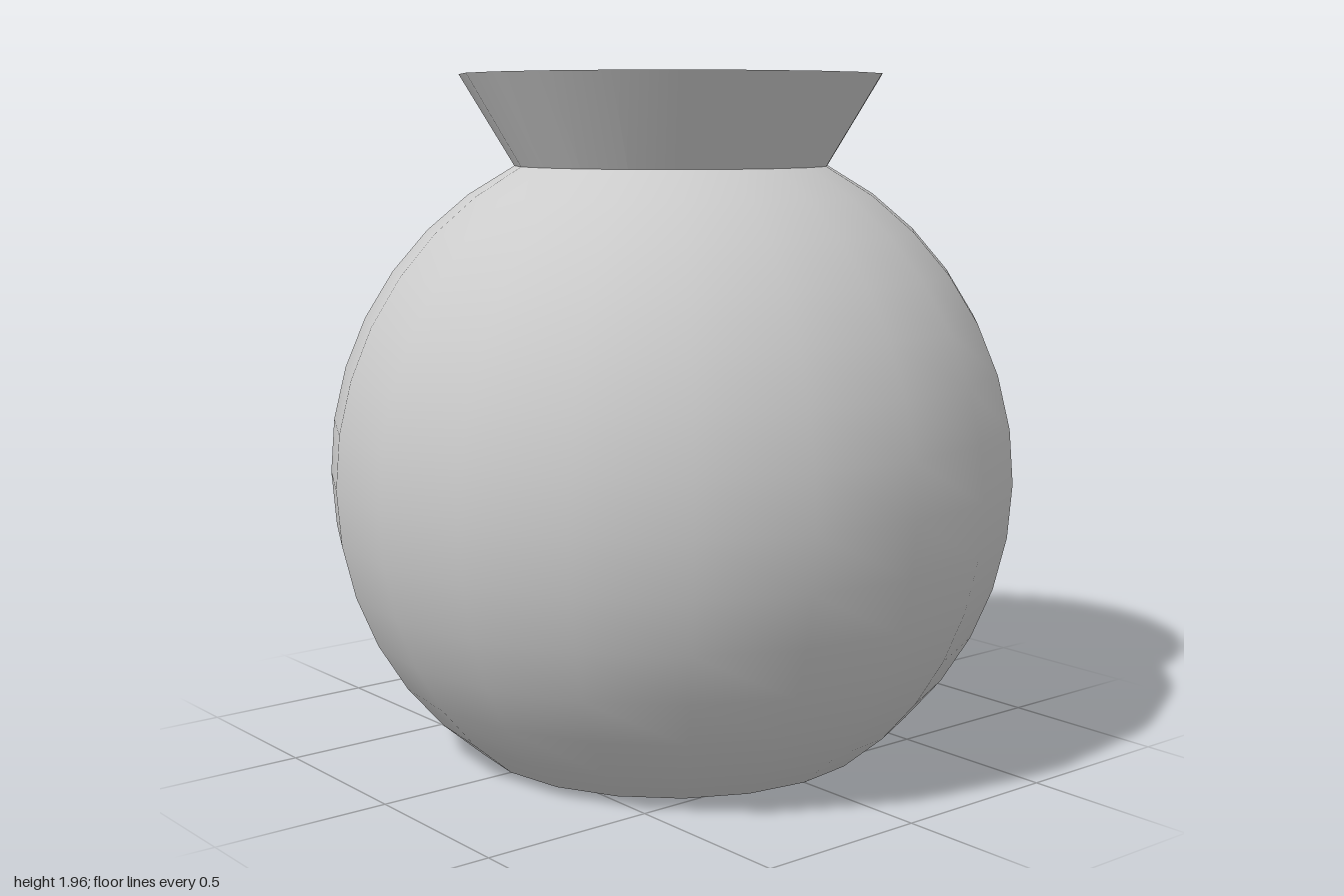
import * as THREE from 'three';

const SIDES = 20;
const CENTER_Y = Math.cos(Math.PI / 5); // the ball is cut flat 36 degrees above its lower pole
const STEP = Math.PI / 20;              // 9 degrees between rings

export function createModel() {
  const group = new THREE.Group();
  const add = (name, geometry, side = THREE.FrontSide) => {
    const mesh = new THREE.Mesh(geometry, new THREE.MeshStandardMaterial({ color: 0xcccccc, side }));
    mesh.name = name;
    group.add(mesh);
    return mesh;
  };

  // Round body, open under the neck and cut flat at the foot
  const body = add('body', new THREE.SphereGeometry(1, SIDES, 13, 0, Math.PI * 2, 3 * STEP, 13 * STEP), THREE.DoubleSide);
  body.position.y = CENTER_Y;

  // Flat underside
  const base = add('base', new THREE.CircleGeometry(Math.sin(Math.PI / 5), SIDES));
  base.rotation.x = Math.PI / 2;

  // Thin flared neck whose wall runs on down inside the body to a point
  const neckR = Math.sin(3 * STEP), neckY = CENTER_Y + Math.cos(3 * STEP);
  const rimR = 0.61, rimY = 1.96;
  const apexY = rimY - rimR * (rimY - neckY) / (rimR - neckR);
  const profile = [[0, apexY], [rimR, rimY]].map(([r, y]) => new THREE.Vector2(r, y));
  add('flaredNeck', new THREE.LatheGeometry(profile, SIDES), THREE.DoubleSide);

  return group;
}
